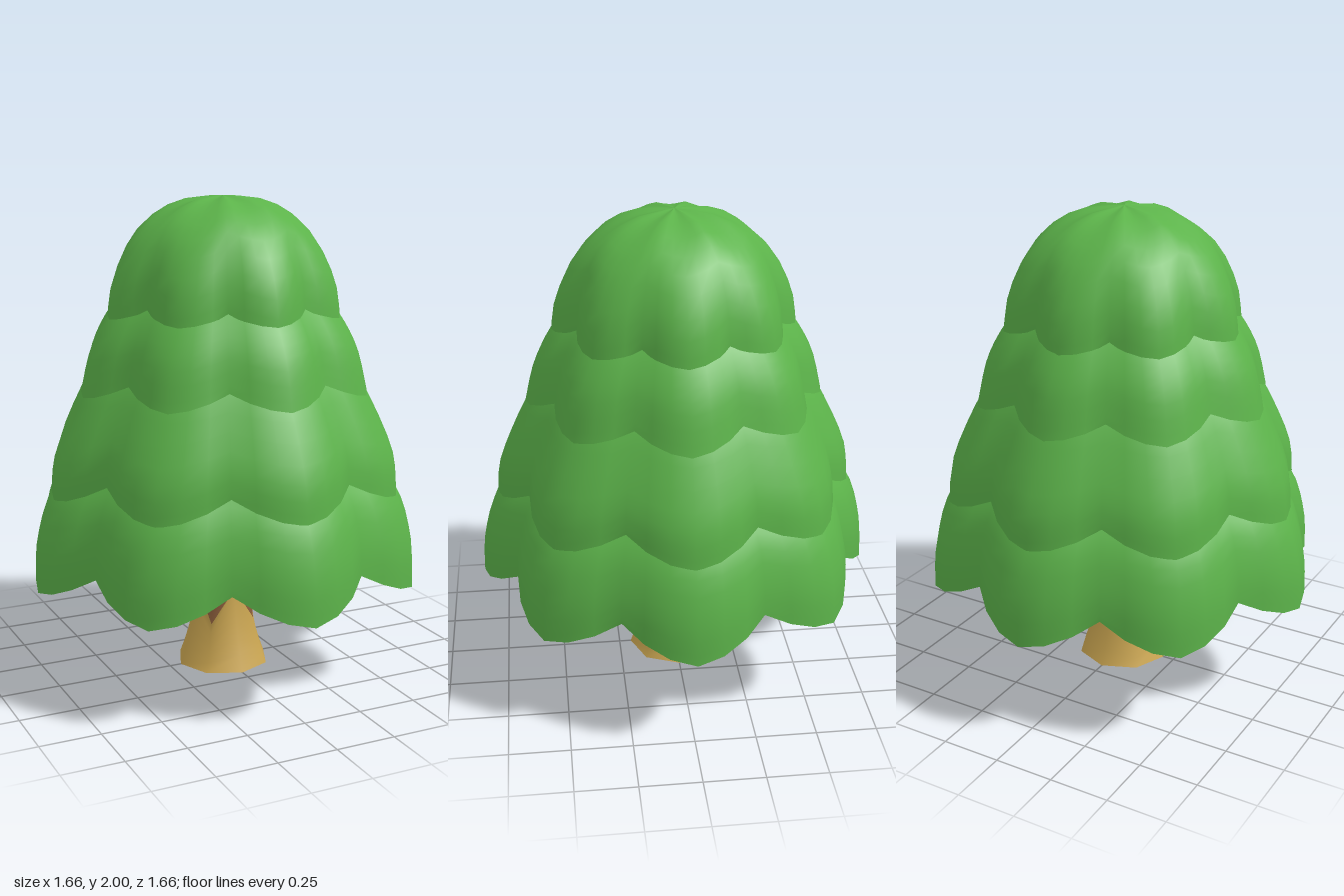
import * as THREE from 'three';

const LOBES = 8;
const SEGMENTS = 48;

// Closed loft around the y axis; point(row, column) returns [radius, y]
function loft(rows, cols, point) {
  const positions = [];
  const indices = [];
  for (let i = 0; i < rows; i++) {
    for (let j = 0; j < cols; j++) {
      const angle = (j / cols) * Math.PI * 2;
      const [r, y] = point(i, j);
      positions.push(r * Math.sin(angle), y, r * Math.cos(angle));
    }
  }
  for (let i = 0; i < rows - 1; i++) {
    for (let j = 0; j < cols; j++) {
      const a = i * cols + j;
      const b = i * cols + (j + 1) % cols;
      indices.push(a, b, b + cols, a, b + cols, a + cols);
    }
  }
  const geometry = new THREE.BufferGeometry();
  geometry.setAttribute('position', new THREE.Float32BufferAttribute(positions, 3));
  geometry.setIndex(indices);
  geometry.computeVertexNormals();
  return geometry;
}

// 0 at the middle of a lobe, 1 in the notch between two lobes
function notch(j) {
  const t = ((j / SEGMENTS) * LOBES) % 1;
  return Math.pow(2 * Math.min(t, 1 - t), 1.5);
}

// Outer face of a tier: a smooth profile whose scallops fade with radius
function tierSkin(profile, depth, lift) {
  const curve = new THREE.SplineCurve(profile.map(([r, y]) => new THREE.Vector2(r, y)));
  const points = curve.getPoints(10);
  const rim = profile[0][0];
  return loft(points.length, SEGMENTS, (i, j) => {
    const { x: r, y } = points[i];
    const n = notch(j);
    return [r * (1 - depth * n * r / rim), y + lift * n * (1 - i / 10)];
  });
}

// Underside of a tier: a straight slope from an inner ring out to the rim
function tierUnderside([rim, rimY], inner, innerY, depth, lift) {
  return loft(7, SEGMENTS, (i, j) => {
    const t = i / 6;
    const r = THREE.MathUtils.lerp(inner, rim, t);
    const n = notch(j) * r / rim;
    return [r * (1 - depth * n), THREE.MathUtils.lerp(innerY, rimY, t) + lift * n];
  });
}

// Trunk flares out towards the ground
const trunkRadius = (y) => 0.12 + 0.08 * Math.max(0, 1 - y / 0.4) ** 2;

function material(name, color) {
  const m = new THREE.MeshStandardMaterial({ color });
  m.name = name;
  return m;
}

export function createModel() {
  const leafGreen = material('leafGreen', 0x5cb34a);
  const barkBrown = material('barkBrown', 0x8a5c3b);
  const woodYellow = material('woodYellow', 0xcba651);

  const tree = new THREE.Group();
  tree.name = 'tree';
  const add = (name, geometry, mat) => {
    const mesh = new THREE.Mesh(geometry, mat);
    mesh.name = name;
    tree.add(mesh);
  };

  // Trunk: bare flared foot with a zigzag edge, bark above it
  const edge = (j) => (j % 2 ? 0.2 : 0.35);
  add('trunkFoot', loft(6, 8, (i, j) => {
    const y = edge(j) * i / 5;
    return [trunkRadius(y), y];
  }), woodYellow);
  add('trunkBark', loft(6, 8, (i, j) => {
    const y = THREE.MathUtils.lerp(edge(j), 0.78, i / 5);
    return [trunkRadius(y), y];
  }), barkBrown);
  add('trunkBase', loft(2, 8, (i) => [0.2 * i, 0]), barkBrown);

  // Foliage tiers from the bottom up; profiles are [radius, y] from rim to top
  const tiers = [
    { name: 'bottomFoliage', depth: 0.11, lift: 0.12, inner: 0.1, rise: 0.27,
      profile: [[0.83, 0.42], [0.818, 0.6], [0.75, 0.81], [0.58, 1.02]] },
    { name: 'lowerFoliage', depth: 0.11, lift: 0.1, inner: 0.6, rise: 0.08,
      profile: [[0.752, 0.8], [0.728, 0.97], [0.61, 1.22], [0.53, 1.33]] },
    { name: 'upperFoliage', depth: 0.12, lift: 0.07, inner: 0.48, rise: 0.07,
      profile: [[0.618, 1.21], [0.575, 1.38], [0.5, 1.52], [0.4, 1.64]] },
    { name: 'crownFoliage', depth: 0.13, lift: 0.07, inner: 0.38, rise: 0.06,
      profile: [[0.502, 1.5], [0.475, 1.66], [0.375, 1.84], [0.2, 1.96], [0, 2]] },
  ];
  for (const { name, depth, lift, inner, rise, profile } of tiers) {
    const rim = profile[0];
    add(name, tierSkin(profile, depth, lift), leafGreen);
    add(name + 'Underside', tierUnderside(rim, inner, rim[1] + rise, depth, lift), leafGreen);
  }
  return tree;
}
